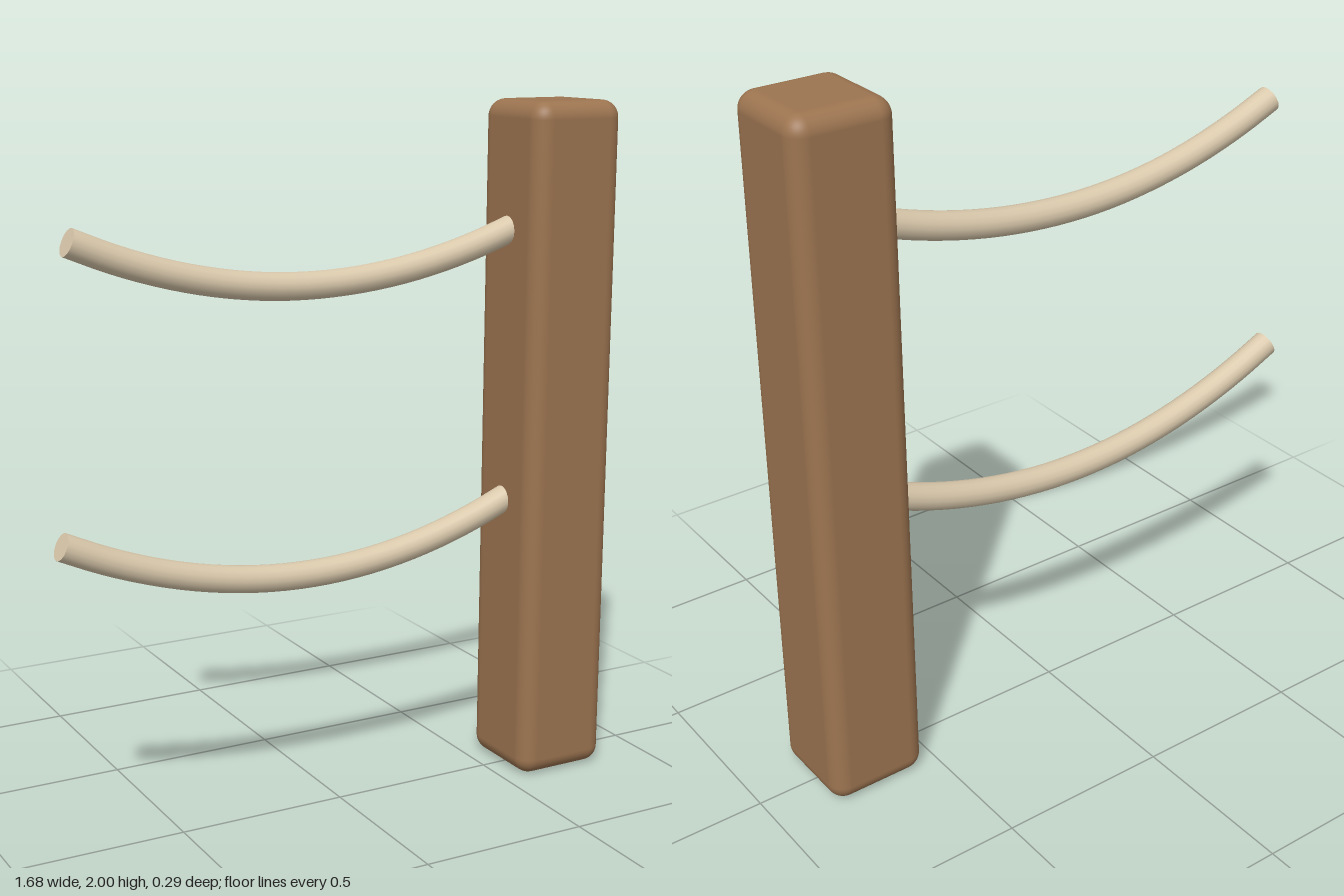
import * as THREE from 'three';
import { RoundedBoxGeometry } from 'three/addons/geometries/RoundedBoxGeometry.js';

const wood = new THREE.MeshStandardMaterial({ color: 0x9c7450 });
wood.name = 'brown wood';
const fibre = new THREE.MeshStandardMaterial({ color: 0xd9c8ab });
fibre.name = 'pale rope';

const RADIUS = 0.039;
const ROPE_Z = -0.004;

// Sagging rope: a parabola on each side of its lowest point, closed with flat ends
function makeRope(name, freeEnd, lowest, root) {
  const points = [];
  const [lx, ly] = lowest;
  const xEnd = root[0] + 0.03; // tucked into the post
  for (let i = 0; i <= 12; i++) {
    const x = THREE.MathUtils.lerp(freeEnd[0], xEnd, i / 12);
    const [ex, ey] = x < lx ? freeEnd : root;
    const y = ly + (ey - ly) * ((x - lx) / (ex - lx)) ** 2;
    points.push(new THREE.Vector3(x, y, ROPE_Z));
  }
  const curve = new THREE.CatmullRomCurve3(points);
  const rope = new THREE.Group();
  rope.name = name;

  const body = new THREE.Mesh(new THREE.TubeGeometry(curve, 32, RADIUS, 16), fibre);
  body.name = name + 'Body';
  rope.add(body);

  for (const [t, sign, label] of [[0, -1, 'FreeEnd'], [1, 1, 'PostEnd']]) {
    const cap = new THREE.Mesh(new THREE.CircleGeometry(RADIUS, 16), fibre);
    cap.name = name + label;
    cap.position.copy(curve.getPointAt(t));
    const outward = curve.getTangentAt(t).multiplyScalar(sign);
    cap.quaternion.setFromUnitVectors(new THREE.Vector3(0, 0, 1), outward);
    rope.add(cap);
  }
  return rope;
}

export function createModel() {
  const model = new THREE.Group();
  model.name = 'ropeFence';

  // Square post with softened edges
  const post = new THREE.Mesh(new RoundedBoxGeometry(0.292, 2, 0.294, 5, 0.05), wood);
  post.name = 'post';
  post.position.set(0.692, 1, 0);
  model.add(post);

  // Two ropes hanging from the post towards the right
  model.add(makeRope('upperRope', [-0.783, 1.675], [-0.08, 1.518], [0.546, 1.633]));
  model.add(makeRope('lowerRope', [-0.828, 0.88], [-0.09, 0.699], [0.546, 0.835]));
  return model;
}
